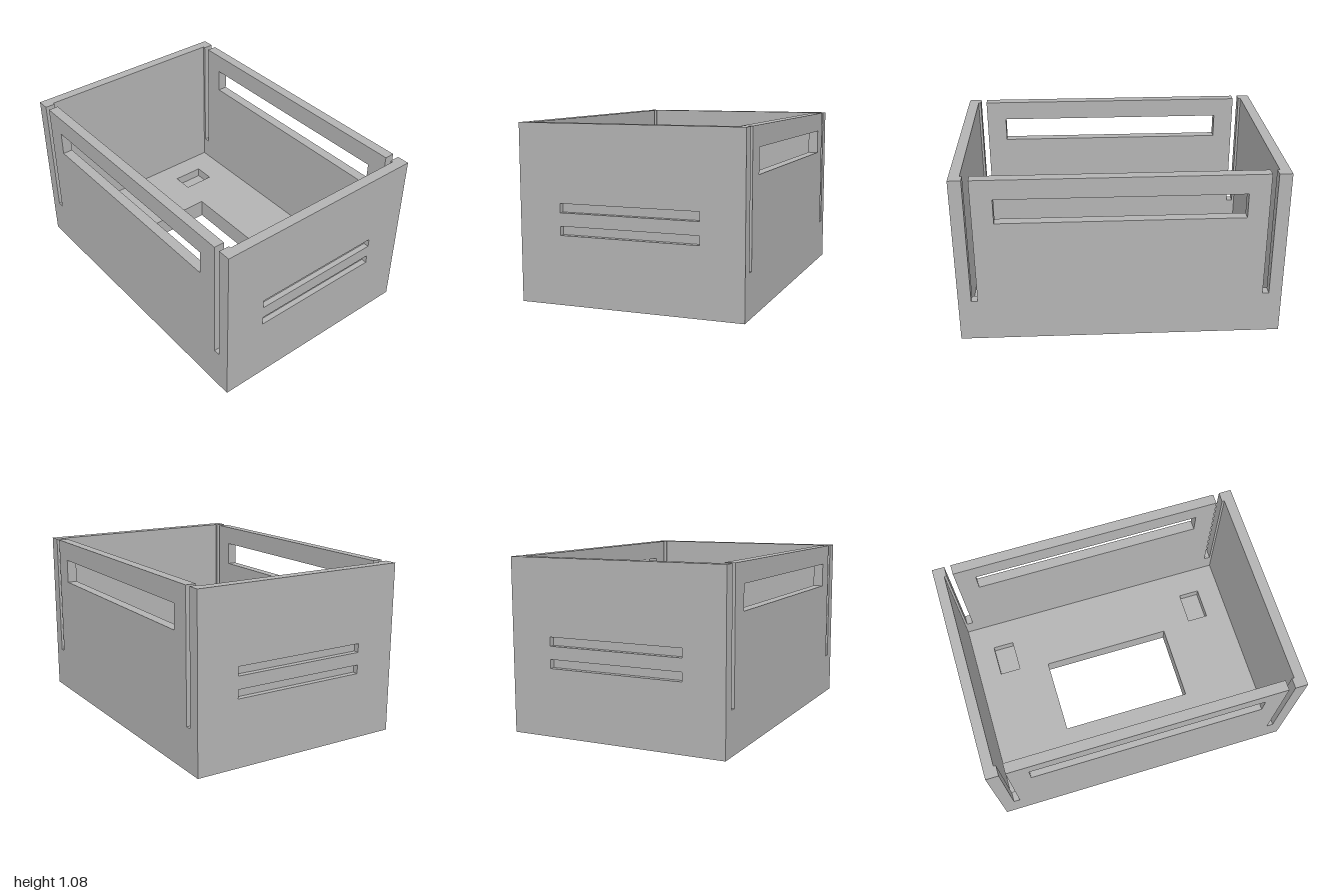
import * as THREE from 'three';

const W = 2, H = 1.08, D = 1.4;   // outer size
const T = 0.065;                  // wall thickness
const FLOOR = 0.13, POCKET = 0.065, GROOVE = 0.035;

// Rectangle corner points
const corners = (x0, y0, x1, y1) => [[x0, y0], [x1, y0], [x1, y1], [x0, y1]]
  .map(([x, y]) => new THREE.Vector2(x, y));

// Extruded plate from an outline with rectangular holes
function plate(points, holes, depth) {
  const shape = new THREE.Shape(points);
  for (const h of holes) shape.holes.push(new THREE.Path(corners(...h).reverse()));
  return new THREE.ExtrudeGeometry(shape, { depth, bevelEnabled: false });
}

export function createModel() {
  const model = new THREE.Group();
  model.name = 'openCrate';
  const grey = new THREE.MeshStandardMaterial({ color: 0xb3b3b3 });
  grey.name = 'plain grey';

  const add = (name, geometry, parent = model) => {
    const mesh = new THREE.Mesh(geometry, grey);
    mesh.name = name;
    parent.add(mesh);
    return mesh;
  };

  // Floor: lower slab, then an upper layer with two shallow pockets
  const fx = W / 2 - T, fz = D / 2 - T;
  const opening = [-0.44, -0.28, 0.44, 0.225];
  const pockets = [[-0.785, 0.25, -0.645, 0.46], [0.64, 0.25, 0.78, 0.46]];
  const floorOutline = corners(-fx, -fz, fx, fz);
  add('floorSlab', plate(floorOutline, [opening], FLOOR - POCKET).rotateX(-Math.PI / 2));
  add('floorPocketLayer', plate(floorOutline, [opening, ...pockets], POCKET)
    .rotateX(-Math.PI / 2).translate(0, FLOOR - POCKET, 0));

  // Front and back walls: tall open slots near the ends and a long handle window
  const a = 0.88, b = 0.92, slotY = 0.27;
  const half = [[fx, 0], [fx, H], [b, H], [b, slotY], [a, slotY], [a, H]];
  const outline = [...half, ...half.slice().reverse().map(([x, y]) => [-x, y])]
    .map(([x, y]) => new THREE.Vector2(x, y));
  const longWall = plate(outline, [[-0.75, 0.8, 0.75, 0.955]], T);
  add('frontWall', longWall).position.z = fz;
  add('backWall', longWall).position.z = -D / 2;

  // Side walls: solid inner layer, outer layer cut by two blind grooves
  const grooves = [[-0.435, 0.42, 0.435, 0.475], [-0.435, 0.555, 0.435, 0.61]];
  const outer = plate(corners(-D / 2, 0, D / 2, H), grooves, GROOVE);
  const inner = new THREE.BoxGeometry(D, H, T - GROOVE)
    .translate(0, H / 2, -(T - GROOVE) / 2);
  for (const s of [1, -1]) {
    const side = new THREE.Group();
    side.name = s > 0 ? 'leftWall' : 'rightWall';
    add('groovedFace', outer, side);
    add('innerPanel', inner, side);
    side.rotation.y = s * Math.PI / 2;
    side.position.x = s * (W / 2 - GROOVE);
    model.add(side);
  }
  return model;
}
